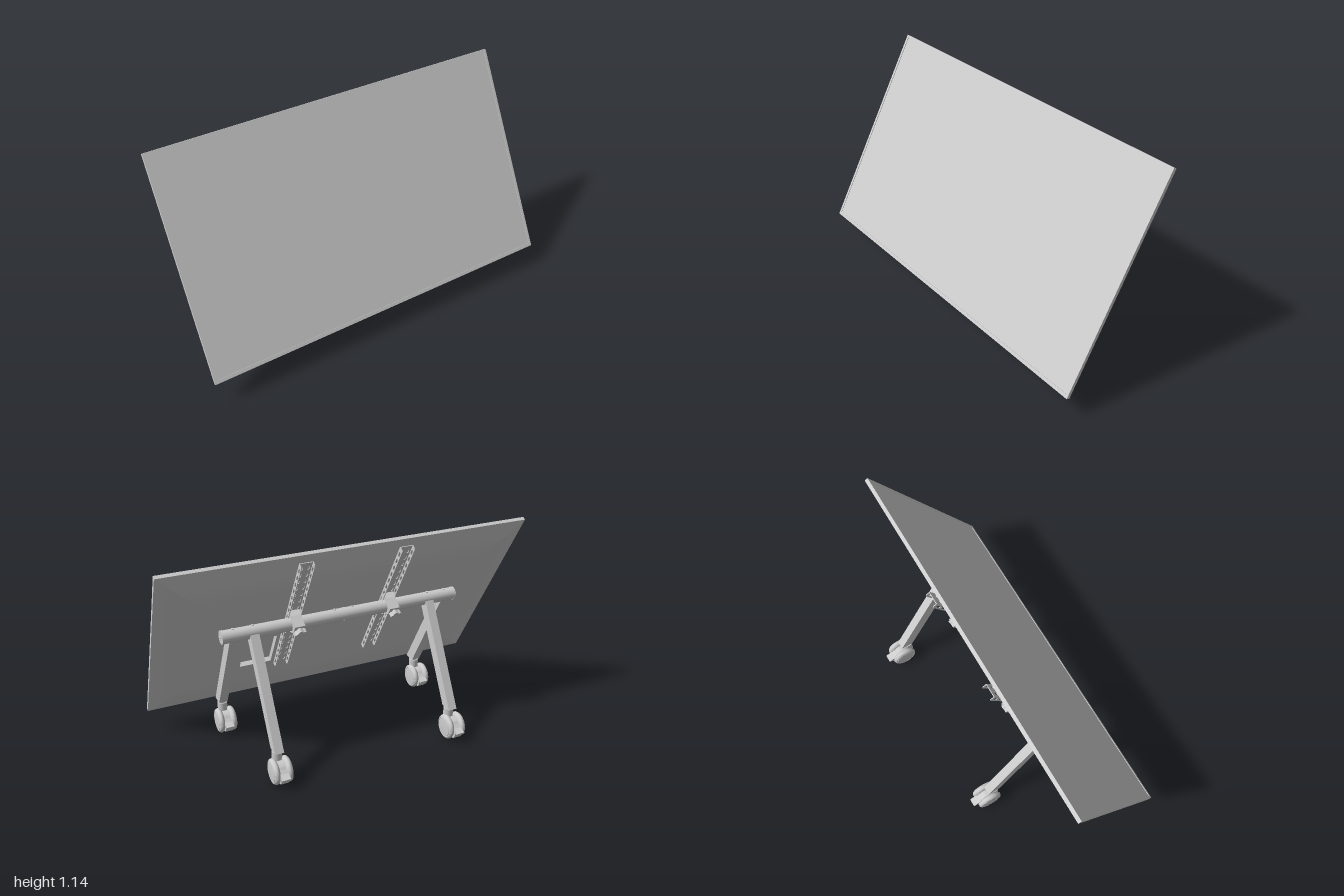
import * as THREE from 'three';
import { toCreasedNormals } from 'three/addons/utils/BufferGeometryUtils.js';

const grey = new THREE.MeshStandardMaterial({ color: 0xcccccc });
const sheet = new THREE.MeshStandardMaterial({ color: 0xcccccc, side: THREE.DoubleSide });

function add(parent, name, geometry, x = 0, y = 0, z = 0, material = grey) {
  const mesh = new THREE.Mesh(geometry, material);
  mesh.name = name;
  mesh.position.set(x, y, z);
  parent.add(mesh);
  return mesh;
}

const polygon = (pts) => new THREE.Shape(pts.map(([x, y]) => new THREE.Vector2(x, y)));
const rect = (x0, y0, x1, y1) => polygon([[x0, y0], [x1, y0], [x1, y1], [x0, y1]]);
const extrude = (shape, depth) =>
  new THREE.ExtrudeGeometry(shape, { depth, bevelEnabled: false, curveSegments: 6 });

// Side profile given as (backward, up), extruded across x and centred
const sideProfile = (shape, width) =>
  extrude(shape, width).translate(0, 0, -width / 2).rotateY(Math.PI / 2);

const rod = (r, length, sides = 32) => new THREE.CylinderGeometry(r, r, length, sides).rotateZ(Math.PI / 2);

// Upright slot with round ends
function slot(x, y, width, length) {
  const r = width / 2, h = length / 2 - r, path = new THREE.Path();
  path.absarc(x, y + h, r, 0, Math.PI);
  path.absarc(x, y - h, r, Math.PI, Math.PI * 2);
  path.closePath();
  return path;
}

const W = 1, H = 0.5825;            // half width and half height of the display
const TUBE_Y = 0.7, TUBE_Z = -0.006;

// Bulged rear shell: four sides swept inward through inset/depth steps
function shellGeometry(steps) {
  const pos = [], index = [];
  const corners = [[-1, -1], [1, -1], [1, 1], [-1, 1]];
  for (let k = 0; k < 4; k++) {
    const start = pos.length / 3;
    steps.forEach(([inset, z], i) => {
      for (const [sx, sy] of [corners[k], corners[(k + 1) % 4]])
        pos.push(sx * (W - inset), sy * (H - inset), z);
      if (i === 0) return;
      const a = start + (i - 1) * 2;
      index.push(a, a + 2, a + 1, a + 1, a + 2, a + 3);
    });
  }
  const g = new THREE.BufferGeometry();
  g.setAttribute('position', new THREE.Float32BufferAttribute(pos, 3));
  g.setIndex(index);
  g.computeVertexNormals();
  return g;
}

function createDisplay() {
  const display = new THREE.Group();
  display.name = 'display';

  // Front frame and screen
  const frame = rect(-W, -H, W, H);
  frame.holes.push(rect(-W + 0.014, -H + 0.018, W - 0.014, H - 0.014));
  add(display, 'bezel', extrude(frame, 0.02), 0, 0, -0.02);
  add(display, 'screen', new THREE.BoxGeometry(2 * W - 0.02, 2 * H - 0.02, 0.01), 0, 0, -0.008);

  // Rear shell with a connector recess
  const steps = [[0, -0.02], [0.04, -0.028], [0.08, -0.0355], [0.12, -0.042], [0.16, -0.0465], [0.2, -0.048]];
  add(display, 'rearShell', shellGeometry(steps), 0, 0, 0, sheet);
  const back = rect(-W + 0.2, -H + 0.2, W - 0.2, H - 0.2);
  const recess = [0.33, -0.27, 0.51, -0.03];
  back.holes.push(rect(...recess));
  add(display, 'rearCover', new THREE.ShapeGeometry(back), 0, 0, -0.048, sheet);
  const walls = rect(0.325, -0.275, 0.515, -0.025);
  walls.holes.push(rect(...recess));
  add(display, 'recessWalls', extrude(walls, 0.028), 0, 0, -0.0475);
  add(display, 'recessFloor', new THREE.BoxGeometry(0.19, 0.25, 0.003), 0.42, -0.15, -0.018);
  add(display, 'connectorPlate', new THREE.BoxGeometry(0.17, 0.2, 0.008), 0.42, -0.132, -0.023);

  for (const side of [-1, 1]) display.add(createRail(side * 0.2725));
  return display;
}

// Perforated channel with its tube clamp and knob
function createRail(x) {
  const rail = new THREE.Group();
  rail.name = 'mountRail';
  rail.position.x = x;
  const y0 = -0.3, y1 = 0.56, half = 0.0375, depth = 0.031, t = 0.004;
  const base = rect(-half, y0, half, y1);
  const flange = polygon([[0, y0], [depth - 0.008, y0], [depth, y0 + 0.01], [depth, y1 - 0.01], [depth - 0.008, y1], [0, y1]]);
  for (let i = 0; i < 16; i++) {
    const y = y0 + 0.04 + i * 0.052;
    flange.holes.push(slot(0.017, y, 0.013, 0.034));
    for (const s of [-1, 1]) base.holes.push(slot(s * 0.018, y, 0.012, 0.028));
  }
  add(rail, 'railBase', extrude(base, t), 0, 0, -0.048 - t);
  for (const s of [-1, 1])
    add(rail, 'railFlange', sideProfile(flange, t), s * (half - t / 2), 0, -0.048);

  const clamp = polygon([[0.05, 0.085], [0.11, 0.085], [0.142, 0.112], [0.153, 0.134], [0.153, 0.175], [0.087, 0.187], [0.05, 0.187]]);
  add(rail, 'tubeClamp', sideProfile(clamp, 0.056));
  const lobes = [];
  for (let i = 0; i < 40; i++) {
    const a = (i / 40) * Math.PI * 2, r = 0.028 + 0.004 * Math.cos(5 * a);
    lobes.push([r * Math.cos(a), r * Math.sin(a)]);
  }
  add(rail, 'knobStem', new THREE.CylinderGeometry(0.012, 0.012, 0.03, 16).rotateX(Math.PI / 2), 0, 0.149, -0.158);
  add(rail, 'clampKnob', toCreasedNormals(extrude(polygon(lobes), 0.026), 0.6), 0, 0.149, -0.188);
  return rail;
}

// Twin-wheel swivel caster, origin on the floor below the swivel
function createCaster(x, z) {
  const caster = new THREE.Group();
  caster.name = 'caster';
  caster.position.set(x, 0, z);
  const wz = -0.044, wy = 0.069;
  const profile = [[0, 0], [0.05, 0], [0.06, 0.003], [0.067, 0.01], [0.069, 0.016], [0.068, 0.023], [0.063, 0.03],
    [0.056, 0.033], [0.055, 0.031], [0.053, 0.031], [0.052, 0.033], [0, 0.034]];
  const wheel = toCreasedNormals(
    new THREE.LatheGeometry(profile.map(([r, h]) => new THREE.Vector2(r, h)), 40), 0.7);
  for (const s of [-1, 1])
    add(caster, 'wheel', wheel.clone().rotateZ(-s * Math.PI / 2), s * 0.017, wy, wz);
  add(caster, 'wheelHub', rod(0.048, 0.036), 0, wy, wz);
  add(caster, 'swivelHousing', new THREE.CylinderGeometry(0.027, 0.027, 0.086, 28), 0, 0.117, 0);
  add(caster, 'swivelNeck', new THREE.CylinderGeometry(0.02, 0.02, 0.014, 24), 0, 0.164, 0);
  const lever = polygon([[0.04, -0.05], [0.058, -0.046], [0.07, -0.03], [0.075, -0.01], [0.094, -0.008],
    [0.096, 0.001], [0.08, 0.006], [0.06, 0.014], [0.04, 0.03]]);
  add(caster, 'brakeLever', sideProfile(lever, 0.044), 0, wy, wz);
  return caster;
}

function createStand() {
  const stand = new THREE.Group();
  stand.name = 'stand';

  // Cross tube with caps, joint collars and bolts
  add(stand, 'crossTube', rod(0.035, 1.33), 0, TUBE_Y, TUBE_Z);
  add(stand, 'tubeJoint', rod(0.0362, 0.012), 0, TUBE_Y, TUBE_Z);
  for (const s of [-1, 1]) {
    add(stand, 'tubeCap', rod(0.037, 0.012), s * 0.667, TUBE_Y, TUBE_Z);
    add(stand, 'capScrew', rod(0.005, 0.004, 12), s * 0.674, TUBE_Y, TUBE_Z);
    for (const x of [0.05, 0.505, 0.61])
      add(stand, 'tubeBolt', new THREE.CylinderGeometry(0.008, 0.008, 0.006, 12), s * x, TUBE_Y + 0.035, TUBE_Z);

    // Front legs stand outside the rear legs
    for (const [x, footZ, casterZ] of [[0.61, 0.2955, 0.285], [0.505, -0.3075, -0.297]]) {
      const b = 0.0345, y0 = 0.167;
      const leg = polygon([[-footZ - b, y0], [-footZ + b, y0], [-TUBE_Z + b, TUBE_Y], [-TUBE_Z - b, TUBE_Y]]);
      add(stand, footZ > 0 ? 'frontLeg' : 'rearLeg', sideProfile(leg, 0.048), s * x, 0, 0);
      stand.add(createCaster(s * x, casterZ));
    }
  }
  return stand;
}

export function createModel() {
  const model = new THREE.Group();
  model.name = 'mobileDisplayStand';
  const display = createDisplay();
  display.position.set(0, 0.635, 0.146);
  display.rotation.x = -Math.PI / 6;
  model.add(display, createStand());
  return model;
}
